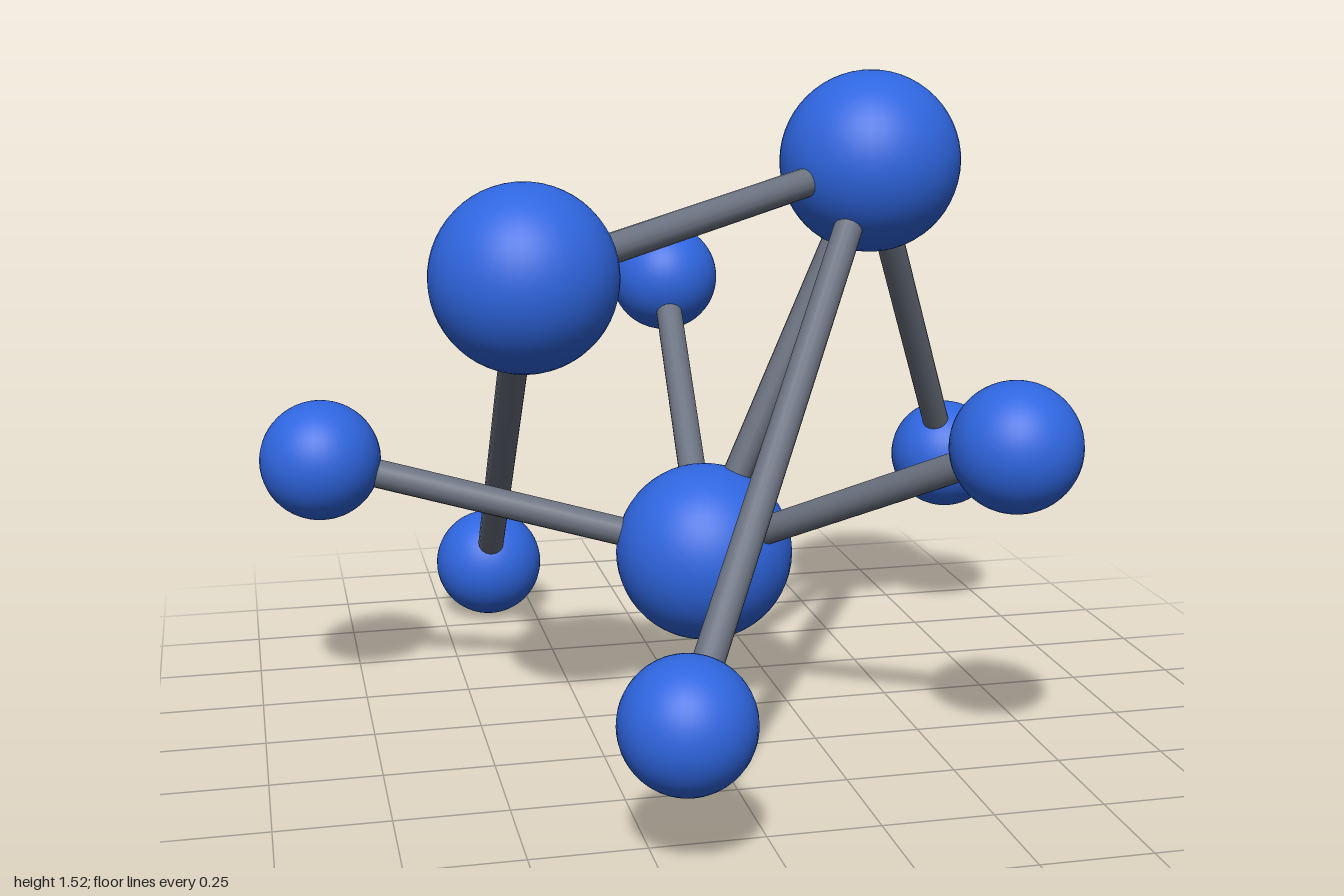
import * as THREE from 'three';

export function createModel() {
  const model = new THREE.Group();
  model.name = 'ballAndStickModel';

  const blue = new THREE.MeshStandardMaterial({ name: 'blue', color: 0x2f66e0 });
  const grey = new THREE.MeshStandardMaterial({ name: 'grey', color: 0x6b7280 });

  // Ball centres and radii
  const balls = {
    topHub: [0.452, 1.313, -0.05, 0.213],
    sideHub: [-0.436, 1.134, 0.396, 0.2],
    centreHub: [0.053, 0.384, -0.05, 0.212],
    leftBall: [-0.842, 0.62, -0.21, 0.142],
    rearBall: [0.118, 0.933, -0.81, 0.142],
    frontBall: [0.57, 0.775, 0.627, 0.142],
    rightBall: [0.84, 0.463, -0.553, 0.142],
    lowFrontBall: [-0.192, 0.306, 0.855, 0.142],
    lowRearBall: [-0.369, 0.146, -0.858, 0.142],
  };
  const centre = {};
  for (const [name, [x, y, z, r]] of Object.entries(balls)) {
    const ball = new THREE.Mesh(new THREE.SphereGeometry(r, 40, 28), blue);
    ball.name = name;
    ball.position.set(x, y, z);
    centre[name] = ball.position;
    model.add(ball);
  }

  // Rods run from centre to centre, so their ends are hidden in the balls
  const links = [
    ['topHub', 'sideHub'],
    ['topHub', 'centreHub'],
    ['topHub', 'rightBall'],
    ['topHub', 'lowFrontBall'],
    ['sideHub', 'lowRearBall'],
    ['centreHub', 'leftBall'],
    ['centreHub', 'rearBall'],
    ['centreHub', 'frontBall'],
  ];
  const up = new THREE.Vector3(0, 1, 0);
  for (const [from, to] of links) {
    const a = centre[from], b = centre[to];
    const dir = b.clone().sub(a);
    const rod = new THREE.Mesh(new THREE.CylinderGeometry(0.034, 0.034, dir.length(), 16), grey);
    rod.name = `${from}To${to[0].toUpperCase()}${to.slice(1)}Rod`;
    rod.position.copy(a).add(b).multiplyScalar(0.5);
    rod.quaternion.setFromUnitVectors(up, dir.normalize());
    model.add(rod);
  }

  return model;
}
